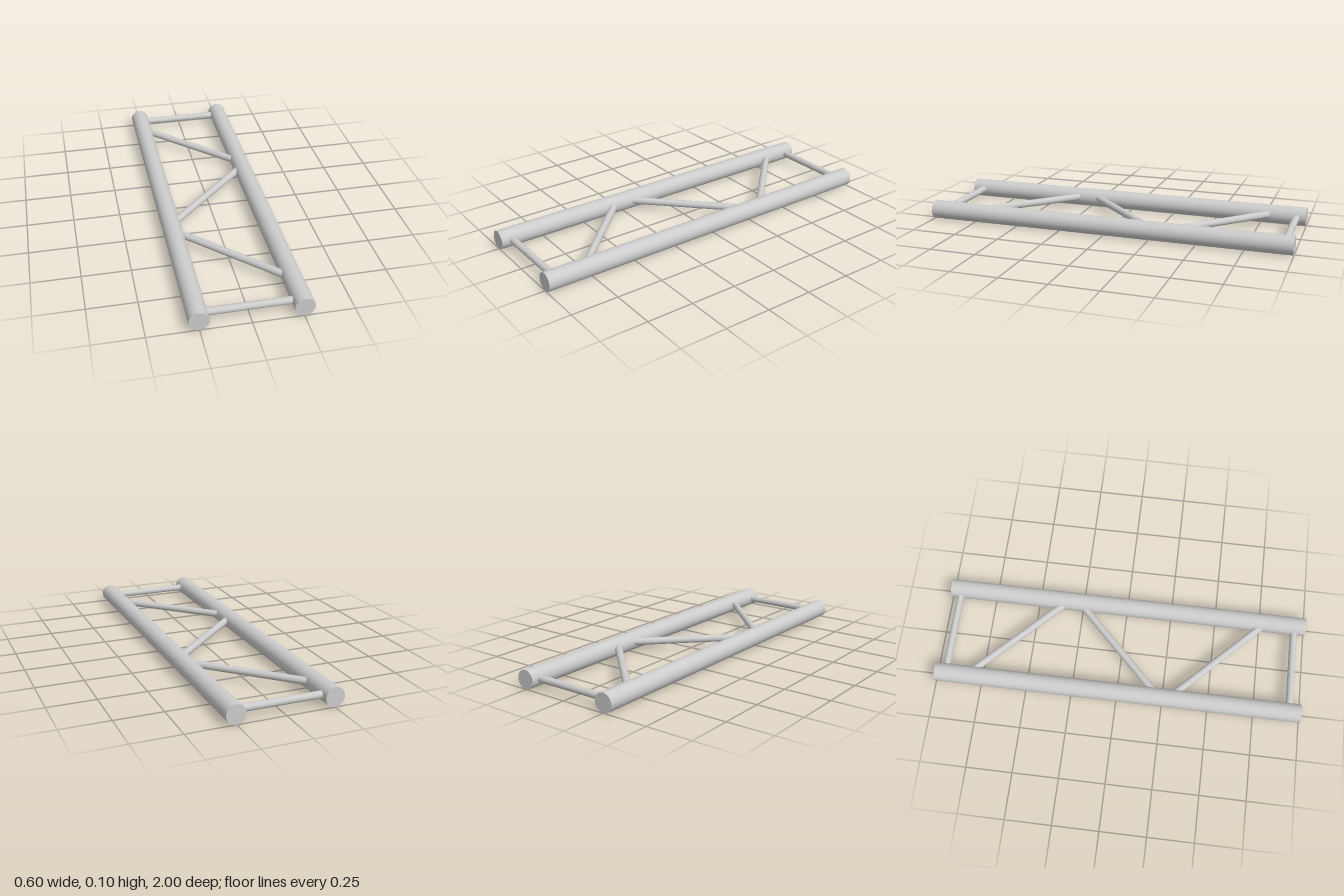
import * as THREE from 'three';

const material = new THREE.MeshStandardMaterial({ color: 0xcccccc });
const RAIL_X = 0.252;

// Solid round bar between two points
function bar(name, from, to, radius, sides) {
  const a = new THREE.Vector3(...from);
  const b = new THREE.Vector3(...to);
  const dir = b.clone().sub(a);
  const mesh = new THREE.Mesh(new THREE.CylinderGeometry(radius, radius, dir.length(), sides), material);
  mesh.name = name;
  mesh.position.copy(a).add(b).multiplyScalar(0.5);
  mesh.quaternion.setFromUnitVectors(new THREE.Vector3(0, 1, 0), dir.normalize());
  return mesh;
}

export function createModel() {
  const group = new THREE.Group();
  group.name = 'ladderTruss';

  // Main chords running front to back
  for (const [name, side] of [['leftChord', 1], ['rightChord', -1]]) {
    group.add(bar(name, [side * RAIL_X, 0.05, -1], [side * RAIL_X, 0.05, 1], 0.05, 48));
  }

  // Straight rungs close to both ends
  for (const [name, z] of [['frontRung', 0.938], ['backRung', -0.947]]) {
    group.add(bar(name, [-0.23, 0.051, z], [0.23, 0.051, z], 0.019, 32));
  }

  // Zigzag braces: z where each meets the inner faces (x = -0.205 and x = 0.205)
  const braces = [[-0.782, -0.376], [0.182, -0.228], [0.33, 0.738]];
  braces.forEach(([zRight, zLeft], i) => {
    const extra = (zLeft - zRight) * 0.05; // carry the ends into the chords
    group.add(bar(`diagonalBrace${i + 1}`,
      [-0.2255, 0.055, zRight - extra], [0.2255, 0.055, zLeft + extra], 0.0195, 32));
  });

  return group;
}
